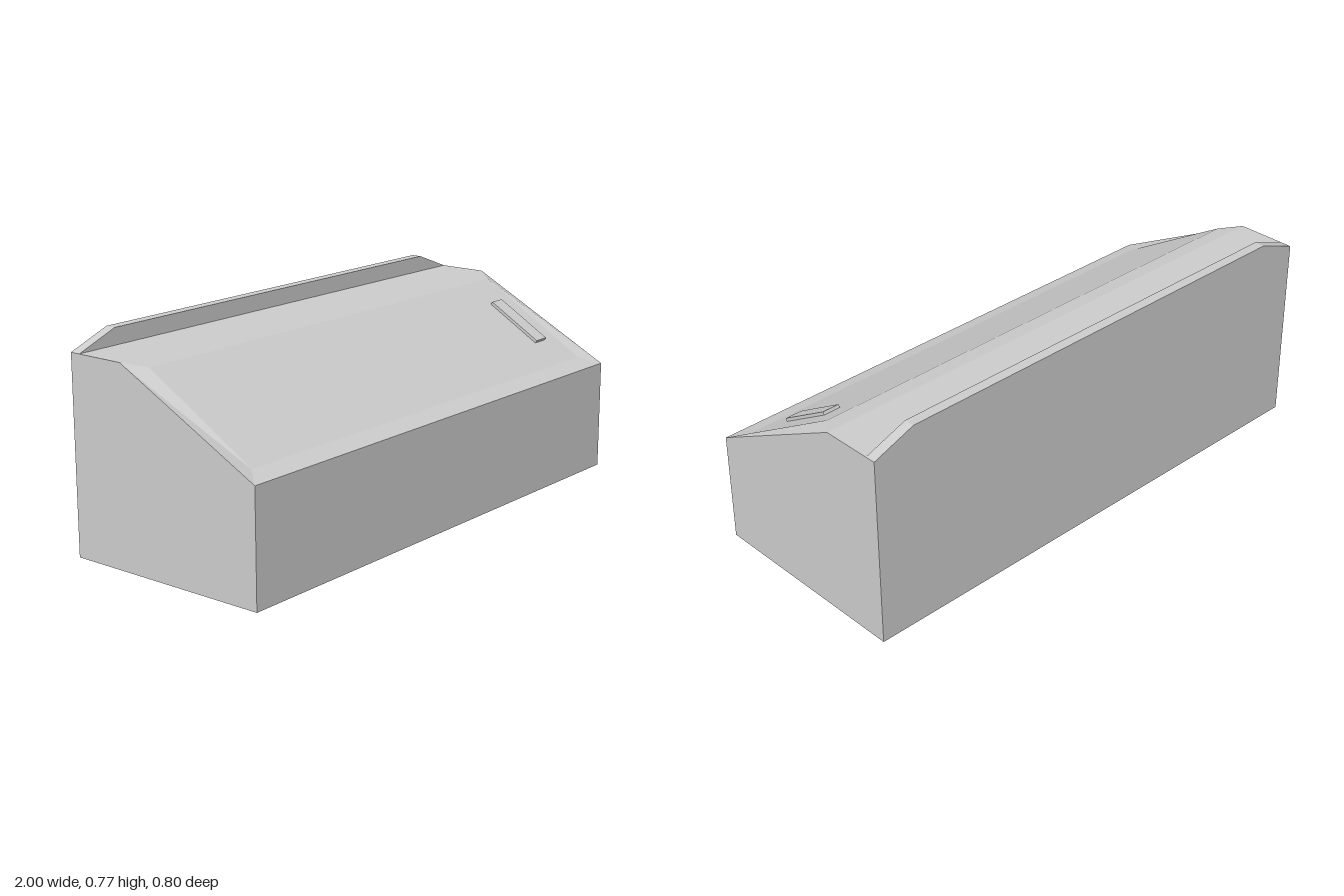
import * as THREE from 'three';

const material = new THREE.MeshStandardMaterial({ color: 0xcccccc, flatShading: true });

// Flat-sided solid from convex polygons, each wound counter-clockwise from outside
function solidFromFaces(points, faces) {
  const positions = [];
  for (const face of faces) {
    const corners = [...face].map((key) => points[key]);
    for (let i = 1; i < corners.length - 1; i++) {
      positions.push(...corners[0], ...corners[i], ...corners[i + 1]);
    }
  }
  const geometry = new THREE.BufferGeometry();
  geometry.setAttribute('position', new THREE.Float32BufferAttribute(positions, 3));
  geometry.computeVertexNormals();
  return geometry;
}

function addMesh(group, name, geometry) {
  const mesh = new THREE.Mesh(geometry, material);
  mesh.name = name;
  group.add(mesh);
  return mesh;
}

export function createModel() {
  const group = new THREE.Group();
  group.name = 'slopedChest';

  const front = 0.398, back = -0.398, lip = 0.41, top = 0.706, ridge = -0.172;
  const panel = { x: 0.94, z0: 0.33, y0: 0.435, z1: -0.1, y1: 0.69 };

  // Cabinet with a sloping front framed by a bevelled border
  const points = {
    P: [-1, 0, front], Q: [1, 0, front], R: [1, 0, back], S: [-1, 0, back],
    A: [-1, lip, front], B: [1, lip, front], C: [1, top, ridge], D: [-1, top, ridge],
    E: [1, top, back], F: [-1, top, back],
    a: [-panel.x, panel.y0, panel.z0], b: [panel.x, panel.y0, panel.z0],
    c: [panel.x, panel.y1, panel.z1], d: [-panel.x, panel.y1, panel.z1],
  };
  addMesh(group, 'cabinet', solidFromFaces(points, [
    'PQBA', 'QRECB', 'SPADF', 'RSFE', 'DCEF', 'PSRQ',
    'ABba', 'BCcb', 'CDdc', 'DAad',
  ]));

  // Sloping lid panel inside the border
  addMesh(group, 'lidPanel', solidFromFaces(points, ['abcd']));

  // Handle lying along the slope
  const angle = Math.atan2(panel.y1 - panel.y0, panel.z0 - panel.z1);
  const handle = addMesh(group, 'handle', new THREE.BoxGeometry(0.065, 0.018, 0.243));
  handle.position.set(0.837, 0.564, 0.117);
  handle.rotation.x = angle;

  // Upstand with chamfered ends along the back edge
  const railShape = new THREE.Shape([
    new THREE.Vector2(-1, top), new THREE.Vector2(1, top),
    new THREE.Vector2(0.84, 0.766), new THREE.Vector2(-0.84, 0.766),
  ]);
  const rail = new THREE.ExtrudeGeometry(railShape, { depth: 0.039, bevelEnabled: false });
  rail.translate(0, 0, back);
  addMesh(group, 'backRail', rail);

  return group;
}
